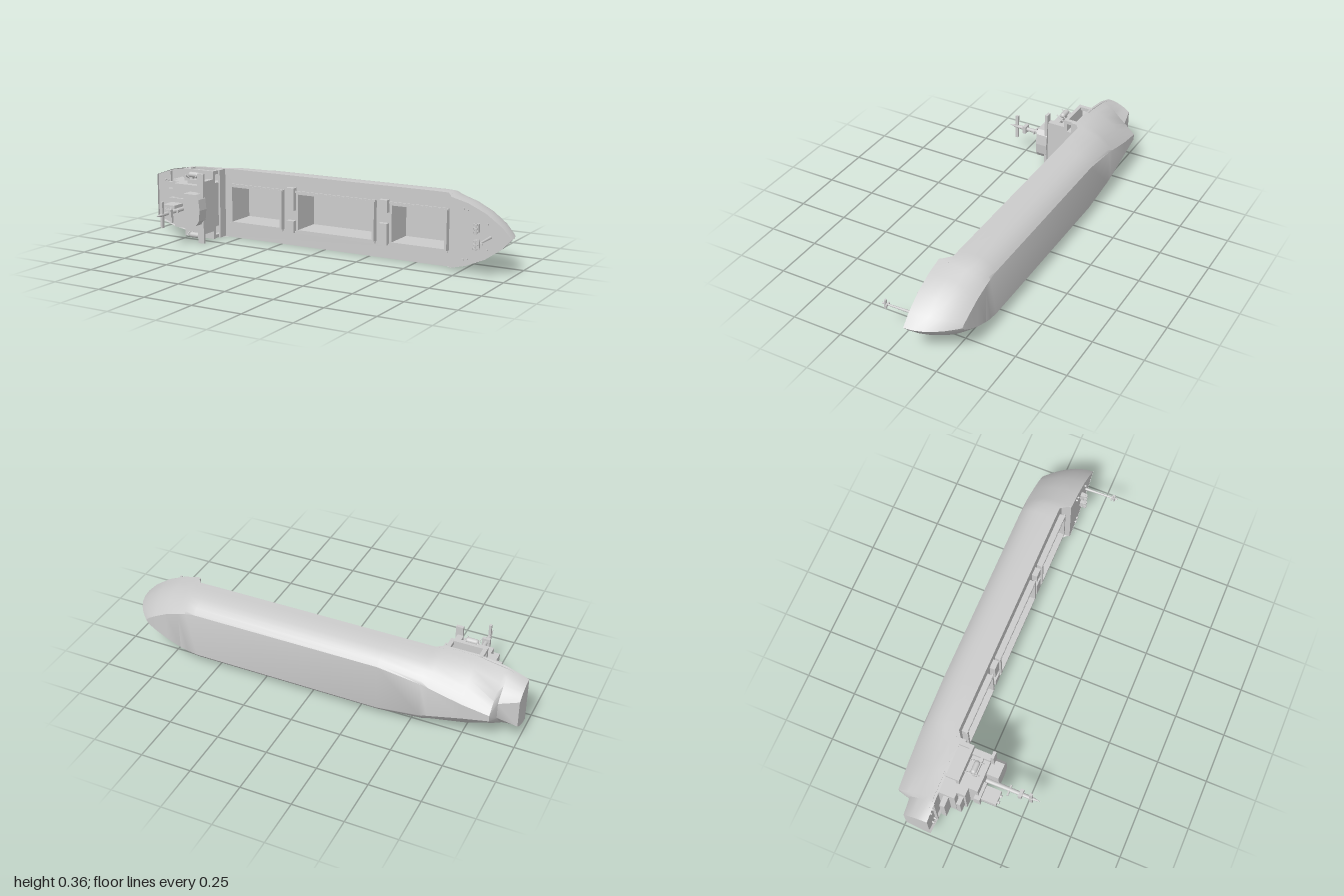
import * as THREE from 'three';
import { toCreasedNormals } from 'three/addons/utils/BufferGeometryUtils.js';

const MID = 0.178; // centreline height of the ship, which lies on its side
const mat = new THREE.MeshStandardMaterial({ color: 0xcccccc, side: THREE.DoubleSide });

// Hull stations: deck x, keel x, top z, keel z, deck half width, keel half width, fullness
const STATIONS = [
  [-1, -1, -0.11, -0.23, 0, 0, 2],
  [-1, -1, -0.11, -0.23, 0.115, 0.07, 2],
  [-0.91, -0.905, -0.11, -0.245, 0.148, 0.04, 1.8],
  [-0.89, -0.89, -0.11, -0.312, 0.154, 0.015, 1.4],
  [-0.76, -0.76, -0.11, -0.318, 0.177, 0.04, 2],
  [-0.6, -0.6, -0.112, -0.32, 0.178, 0.08, 2.8],
  [-0.56, -0.56, -0.14, -0.32, 0.178, 0.09, 3],
  [-0.35, -0.35, -0.14, -0.32, 0.178, 0.118, 4],
  [0.6, 0.6, -0.14, -0.32, 0.178, 0.118, 4],
  [0.66, 0.65, -0.14, -0.32, 0.177, 0.11, 3.8],
  [0.7, 0.69, -0.09, -0.32, 0.168, 0.1, 3.5],
  [0.78, 0.76, -0.09, -0.318, 0.148, 0.075, 3],
  [0.87, 0.82, -0.09, -0.317, 0.108, 0.045, 2.8],
  [0.95, 0.865, -0.09, -0.315, 0.052, 0.018, 2.5],
  [1, 0.88, -0.09, -0.312, 0, 0, 2],
];

export function createModel() {
  const ship = new THREE.Group();
  ship.name = 'cargoShip';

  const add = (name, geo, x = 0, y = 0, z = 0) => {
    const m = new THREE.Mesh(geo, mat);
    m.name = name;
    m.position.set(x, y, z);
    ship.add(m);
    return m;
  };
  // Box from its limits
  const box = (name, x0, x1, y0, y1, z0, z1) =>
    add(name, new THREE.BoxGeometry(x1 - x0, y1 - y0, z1 - z0), (x0 + x1) / 2, (y0 + y1) / 2, (z0 + z1) / 2);
  // Box centred on the centreline
  const block = (name, x0, x1, half, z0, z1) => box(name, x0, x1, MID - half, MID + half, z0, z1);
  // Round bar between two points
  const bar = (name, a, b, r0, r1 = r0) => {
    const p = new THREE.Vector3(...a), d = new THREE.Vector3(...b).sub(p);
    const m = add(name, new THREE.CylinderGeometry(r1, r0, d.length(), 10));
    m.position.copy(p).addScaledVector(d, 0.5);
    m.quaternion.setFromUnitVectors(new THREE.Vector3(0, 1, 0), d.normalize());
    return m;
  };
  const rect = (Type, x0, x1, y0, y1) =>
    new Type([[x0, y0], [x1, y0], [x1, y1], [x0, y1]].map(p => new THREE.Vector2(...p)));

  // Hull lofted through the stations
  const levels = [0, 0.2, 0.4, 0.6, 0.75, 0.87, 0.95, 1];
  const pos = [], idx = [];
  const cols = levels.length * 2;
  STATIONS.forEach(([xd, xk, zt, zb, wt, wb, k], i) => {
    for (let j = 0; j < cols; j++) {
      const side = j < levels.length ? 1 : -1;
      const t = side > 0 ? levels[j] : levels[cols - 1 - j];
      pos.push(xd + (xk - xd) * t * t, MID + side * (wt + (wb - wt) * t ** k), zt + (zb - zt) * t);
      if (i < STATIONS.length - 1 && j < cols - 1) {
        const a = i * cols + j, b = a + cols;
        idx.push(a, b, a + 1, b, b + 1, a + 1);
      }
    }
  });
  const hull = new THREE.BufferGeometry();
  hull.setAttribute('position', new THREE.Float32BufferAttribute(pos, 3));
  hull.setIndex(idx);
  add('hull', toCreasedNormals(hull, 0.65));

  // Decks follow the hull outline
  const deck = (name, from, to, z, inset, holes = []) => {
    const s = STATIONS.slice(from, to + 1);
    const pts = s.map(p => new THREE.Vector2(p[0], MID + p[4] - inset))
      .concat(s.map(p => new THREE.Vector2(p[0], MID - p[4] + inset)).reverse());
    const shape = new THREE.Shape(pts);
    shape.holes.push(...holes);
    add(name, new THREE.ShapeGeometry(shape), 0, 0, z);
  };
  const holds = [[-0.54, -0.235], [-0.15, 0.285], [0.37, 0.667]];
  const [h0, h1, rim] = [0.078, 0.28, 0.011];
  deck('aftDeck', 1, 5, -0.122, 0.001);
  deck('mainDeck', 5, 10, -0.14, 0, holds.map(([a, b]) => rect(THREE.Path, a, b, h0, h1)));
  deck('forecastleDeck', 10, 14, -0.091, 0);
  block('forecastleBulkhead', 0.69, 0.7, 0.167, -0.15, -0.091);

  // Open cargo holds with raised coamings
  for (const [a, b] of holds) {
    const wall = rect(THREE.Shape, a, b, h0, h1);
    wall.holes.push(rect(THREE.Path, a + rim, b - rim, h0 + rim, h1 - rim));
    add('holdWalls', new THREE.ExtrudeGeometry(wall, { depth: 0.16, bevelEnabled: false }), 0, 0, -0.27);
    box('holdFloor', a, b, h0, h1, -0.275, -0.268);
    box('coamingLip', a - 0.006, b + 0.006, h1 - 0.003, h1 + 0.006, -0.118, -0.111);
    box('coamingLip', a - 0.006, b + 0.006, h0 - 0.006, h0 + 0.003, -0.118, -0.111);
  }
  // Deck houses between the holds
  box('deckHouse', -0.21, -0.165, 0.07, 0.13, -0.14, -0.113);
  box('deckHouse', -0.21, -0.165, 0.183, 0.297, -0.14, -0.113);
  box('deckHouse', 0.308, 0.353, 0.068, 0.175, -0.14, -0.113);
  box('deckHouse', 0.308, 0.353, 0.228, 0.29, -0.14, -0.113);

  // Superstructure tiers
  block('aftBulkhead', -0.6, -0.59, 0.176, -0.145, -0.09);
  block('lowerHouse', -0.85, -0.6, 0.113, -0.122, -0.04);
  block('aftHouseStep', -0.9, -0.85, 0.09, -0.095, -0.07);
  block('boatDeck', -0.78, -0.6, 0.176, -0.062, -0.045);
  block('middleHouse', -0.82, -0.6, 0.113, -0.04, 0);
  block('aftBalcony', -0.86, -0.82, 0.07, -0.03, -0.01);
  block('upperHouse', -0.78, -0.6, 0.113, 0, 0.045);
  block('upperDeck', -0.72, -0.6, 0.135, -0.003, 0.012);
  block('bridgeFront', -0.63, -0.6, 0.135, -0.045, 0.045);
  block('bridgeWing', -0.625, -0.59, 0.178, 0.045, 0.06);

  // Wheelhouse with chamfered front corners
  const wheel = new THREE.Shape([[-0.68, -0.079], [-0.605, -0.079], [-0.588, -0.055], [-0.582, 0],
    [-0.588, 0.055], [-0.605, 0.079], [-0.68, 0.079]].map(p => new THREE.Vector2(...p)));
  add('wheelhouse', new THREE.ExtrudeGeometry(wheel, { depth: 0.06, bevelEnabled: false }), 0, MID, 0.045);

  // Funnel
  block('funnelBase', -0.8, -0.71, 0.04, 0.03, 0.06);
  block('funnel', -0.785, -0.715, 0.018, 0.06, 0.135);
  for (const x of [-0.765, -0.735]) bar('exhaustPipe', [x, MID, 0.13], [x, MID, 0.145], 0.008);

  // Radar mast
  bar('mast', [-0.688, MID, 0.045], [-0.688, MID, 0.28], 0.012, 0.009);
  bar('mastTip', [-0.688, MID, 0.28], [-0.688, MID, 0.318], 0.008, 0.001);
  block('radarBar', -0.694, -0.682, 0.065, 0.264, 0.279);
  block('radarPlatform', -0.708, -0.668, 0.02, 0.212, 0.229);
  block('mastArm', -0.72, -0.668, 0.008, 0.16, 0.168);

  for (const s of [1, -1]) {
    const y = d => MID + s * d;
    // Side supports of the boat deck
    for (const x of [-0.61, -0.77]) box('deckPillar', x - 0.01, x + 0.01, y(0.166) - 0.009, y(0.166) + 0.009, -0.12, -0.045);
    // Lifeboats and davits
    const boat = add('lifeboat', new THREE.CapsuleGeometry(0.014, 0.038, 5, 14), -0.688, y(0.157), -0.004);
    boat.rotation.z = Math.PI / 2;
    for (const x of [-0.718, -0.658]) {
      bar('davitArm', [x, y(0.13), -0.045], [x, y(0.157), -0.012], 0.003);
      bar('davitArm', [x, y(0.13), -0.012], [x, y(0.157), 0.028], 0.003);
      bar('davitPost', [x, y(0.13), -0.045], [x, y(0.13), 0], 0.003);
    }
    // Anchor windlasses
    bar('windlassShaft', [0.83, y(0.012), -0.068], [0.83, y(0.065), -0.068], 0.004);
    for (const d of [0.02, 0.038, 0.057]) bar('windlassDrum', [0.83, y(d - 0.004), -0.068], [0.83, y(d + 0.004), -0.068], 0.011);
    box('windlassBase', 0.82, 0.842, y(0.038) - 0.02, y(0.038) + 0.02, -0.091, -0.072);
    // Bollards
    for (const [x, d] of [[0.76, 0.12], [0.78, 0.115], [0.88, 0.06], [-0.95, 0.09], [-0.93, 0.09]])
      bar('bollard', [x, y(d), x > 0 ? -0.091 : -0.122], [x, y(d), x > 0 ? -0.082 : -0.108], 0.005);
  }
  // Mooring rail across the stern
  block('sternRail', -0.92, -0.912, 0.14, -0.122, -0.108);

  // Foremast
  bar('foremast', [0.895, MID, -0.09], [0.9, MID, 0.08], 0.007, 0.004);
  block('foremastArm', 0.894, 0.906, 0.023, 0.06, 0.068);
  box('foremastLamp', 0.885, 0.915, MID - 0.005, MID + 0.005, 0.05, 0.057);

  return ship;
}
